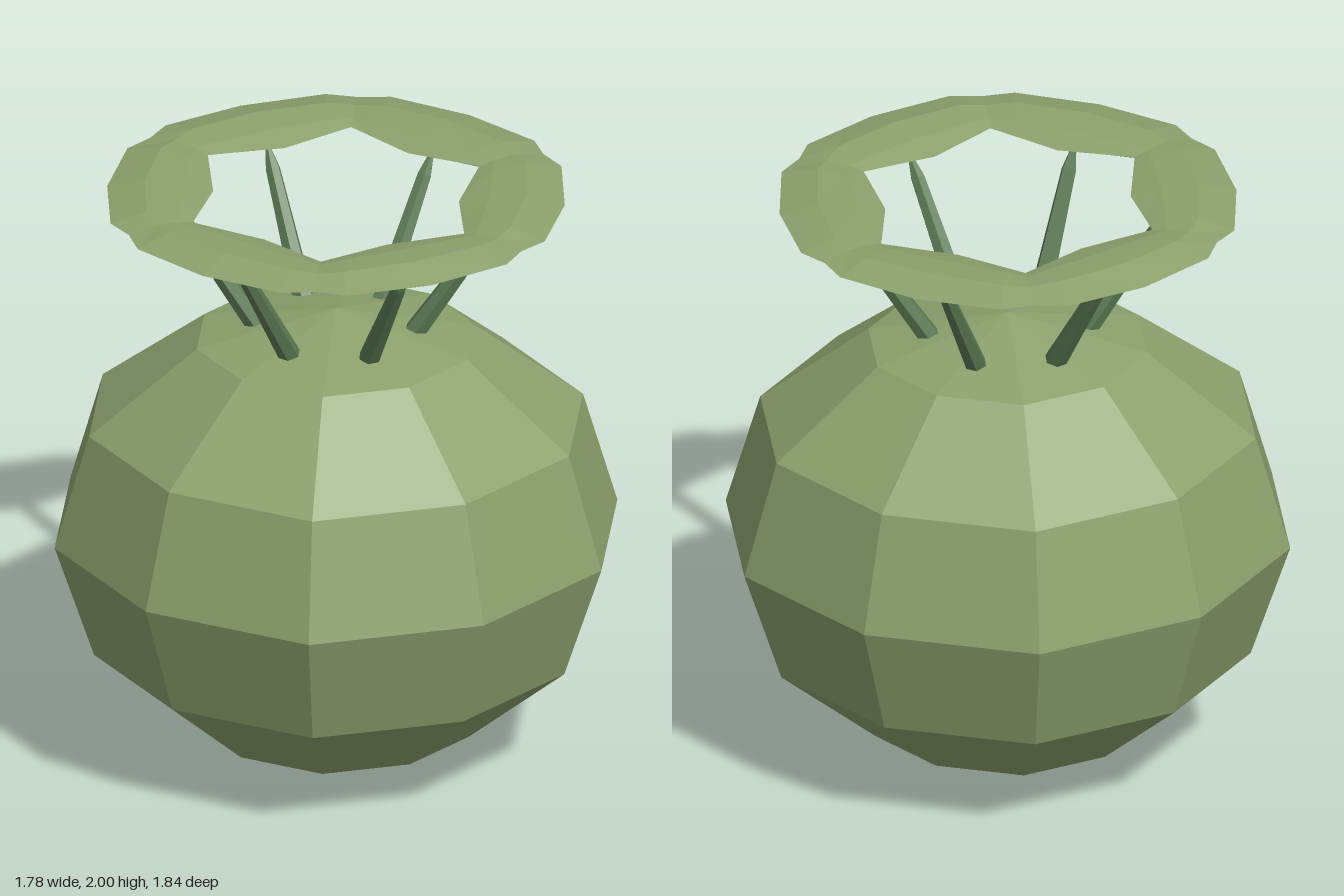
import * as THREE from 'three';

const green = new THREE.MeshStandardMaterial({ color: 0x8ca16d });
green.name = 'paleGreen';
const darkGreen = new THREE.MeshStandardMaterial({ color: 0x5d7b55 });
darkGreen.name = 'stemGreen';

// Flat-shaded skin over a list of closed loops of points
function loft(loops, wrap) {
  const pos = [];
  const tri = (a, b, c) => pos.push(...a, ...b, ...c);
  const last = wrap ? loops.length : loops.length - 1;
  for (let i = 0; i < last; i++) {
    const a = loops[i], b = loops[(i + 1) % loops.length], n = a.length;
    for (let j = 0; j < n; j++) {
      const k = (j + 1) % n;
      tri(a[j], a[k], b[k]);
      tri(a[j], b[k], b[j]);
    }
  }
  const g = new THREE.BufferGeometry();
  g.setAttribute('position', new THREE.Float32BufferAttribute(pos, 3));
  g.computeVertexNormals();
  return g;
}

function addMesh(parent, name, geometry, material) {
  const m = new THREE.Mesh(geometry, material);
  m.name = name;
  parent.add(m);
  return m;
}

export function createModel() {
  const model = new THREE.Group();
  model.name = 'seedPod';

  // Ten-sided faceted body: one outline scaled at each level
  const half = [[0, 0.92], [0.55, 0.72], [0.89, 0.27], [0.89, -0.27], [0.55, -0.72]];
  const outline = [...half, ...half.map(([x, z]) => [-x, -z])];
  const levels = [[0, 0], [0.5, 0.11], [0.86, 0.395], [1, 0.79], [0.878, 1.18], [0.495, 1.46], [0, 1.565]];
  const bodyLoops = levels.map(([s, y]) => outline.map(([x, z]) => [x * s, y, z * s]));
  addMesh(model, 'body', loft(bodyLoops, false), green);

  // Crown ring of six joined petals; sections are [radius, height]
  const middle = [[0.40, 1.965], [0.50, 1.99], [0.62, 2.0], [0.745, 1.968], [0.63, 1.938], [0.50, 1.93]];
  const shoulder = [[0.462, 1.97], [0.53, 1.988], [0.64, 1.998], [0.762, 1.97], [0.65, 1.945], [0.54, 1.94]];
  const joint = [[0.51, 1.972], [0.56, 1.983], [0.64, 1.99], [0.738, 1.972], [0.65, 1.953], [0.56, 1.95]];
  const ringLoops = [];
  for (let i = 0; i < 6; i++) {
    for (const [offset, section] of [[-22, shoulder], [0, middle], [22, shoulder], [30, joint]]) {
      const a = THREE.MathUtils.degToRad(i * 60 + offset);
      ringLoops.push(section.map(([r, y]) => [r * Math.cos(a), y, -r * Math.sin(a)]));
    }
  }
  addMesh(model, 'crownRing', loft(ringLoops, true), green);

  // Six pointed stems leaning outwards from the body to the ring
  const base = new THREE.Vector3(0.245, 1.475, 0);
  const lean = new THREE.Vector3(0.555, 1.945, 0).sub(base);
  const length = lean.length();
  const profile = [[0, 0], [0.037, 0], [0.036, 0.1], [0.025, 0.8], [0, 1]]
    .map(([r, t]) => new THREE.Vector2(r, t * length));
  const stemGeometry = new THREE.LatheGeometry(profile, 6).toNonIndexed();
  stemGeometry.computeVertexNormals();
  for (let i = 0; i < 6; i++) {
    const holder = new THREE.Group();
    holder.name = 'stemHolder';
    holder.rotation.y = i * Math.PI / 3;
    const stem = addMesh(holder, 'stem', stemGeometry, darkGreen);
    stem.position.copy(base);
    stem.quaternion.setFromUnitVectors(new THREE.Vector3(0, 1, 0), lean.clone().normalize());
    model.add(holder);
  }
  return model;
}
